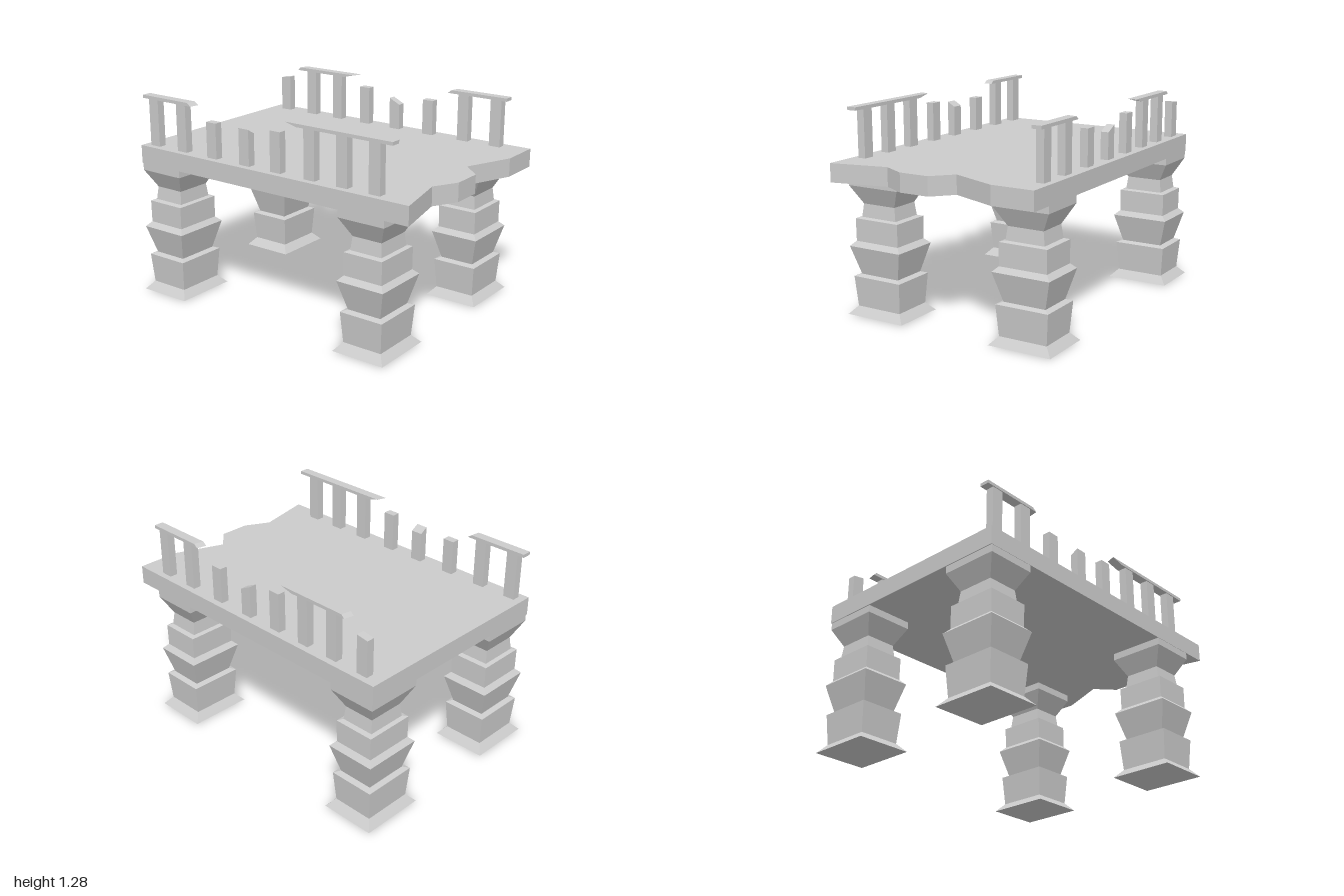
import * as THREE from 'three';

const material = new THREE.MeshStandardMaterial({ color: 0xcccccc, flatShading: true });

function addMesh(parent, name, geometry, x = 0, y = 0, z = 0) {
  const flat = geometry.index ? geometry.toNonIndexed() : geometry;
  flat.computeVertexNormals();
  const mesh = new THREE.Mesh(flat, material);
  mesh.name = name;
  mesh.position.set(x, y, z);
  parent.add(mesh);
}

// Move every vertex by a rule that edits the vector in place
function reshape(geometry, rule) {
  const p = geometry.attributes.position;
  const v = new THREE.Vector3();
  for (let i = 0; i < p.count; i++) {
    rule(v.fromBufferAttribute(p, i));
    p.setXYZ(i, v.x, v.y, v.z);
  }
  return geometry;
}

// Pillar profile from the ground up: [height, half width, half depth]
const PILLAR = [
  [0, 0.2025, 0.173], [0.05, 0.155, 0.129], [0.24, 0.17, 0.143], [0.252, 0.136, 0.111],
  [0.43, 0.185, 0.157], [0.46, 0.154, 0.128], [0.6, 0.155, 0.129], [0.608, 0.125, 0.105],
  [0.69, 0.114, 0.097], [0.805, 0.178, 0.154], [0.852, 0.178, 0.154],
];

function pillarGeometry() {
  const rows = PILLAR.length - 1;
  const g = new THREE.CylinderGeometry(1, 1, 1, 4, rows, false, Math.PI / 4);
  return reshape(g, (v) => {
    const [y, hx, hz] = PILLAR[Math.round((v.y + 0.5) * rows)];
    v.set(Math.sign(v.x) * hx, y, Math.sign(v.z) * hz);
  });
}

const DECK_TOP = 0.965;
const RAIL_BOTTOM = 1.26;
const RAIL_TOP = 1.28;

// Post with a top that may slope along x or z
function postGeometry(top, slopeX = 0, slopeZ = 0) {
  return reshape(new THREE.BoxGeometry(0.05, 1, 0.075), (v) => {
    v.y = v.y > 0 ? top + Math.sign(v.x) * slopeX + Math.sign(v.z) * slopeZ : DECK_TOP - 0.01;
  });
}

// Handrail: each end is [z at top, z at bottom, sideways skew]
function railGeometry(back, front) {
  return reshape(new THREE.BoxGeometry(0.06, 1, 1), (v) => {
    const [top, bottom, skew] = v.z > 0 ? front : back;
    v.z = (v.y > 0 ? top : bottom) + Math.sign(v.x) * skew;
    v.y = v.y > 0 ? RAIL_TOP : RAIL_BOTTOM;
  });
}

// Posts: [z, top height, slope x, slope z]; unlisted heights reach the rail
const SIDES = [
  {
    name: 'left', x: 0.623,
    posts: [[0.795], [0.565], [0.305, 1.19], [0.05, 1.148, 0, -0.018], [-0.19, 1.21],
      [-0.417], [-0.637], [-0.865, 1.195, 0, 0.006]],
    rails: [
      [[0.485, 0.46, 0.006], [0.87, 0.87, 0]],
      [[-0.725, -0.745, 0.006], [-0.265, -0.35, 0.01]],
    ],
  },
  {
    name: 'right', x: -0.623,
    posts: [[0.753], [0.535], [0.31], [0.065, 1.21], [-0.17, 1.172, -0.015, 0],
      [-0.425, 1.185], [-0.67], [-0.9]],
    rails: [
      [[0.153, 0.235, 0.01], [0.87, 0.87, 0]],
      [[-0.983, -0.983, 0], [-0.605, -0.578, 0.004]],
    ],
  },
];

export function createModel() {
  const model = new THREE.Group();
  model.name = 'brokenPier';

  // Deck slab with a jagged front edge
  const outline = [[-0.687, -0.985], [0.687, -0.985], [0.687, 1], [0.42, 1], [0.12, 0.88],
    [0.01, 1], [-0.18, 1], [-0.33, 0.92], [-0.687, 1]];
  const shape = new THREE.Shape(outline.map(([x, z]) => new THREE.Vector2(x, z)));
  const deck = new THREE.ExtrudeGeometry(shape, { depth: 0.115, bevelEnabled: false });
  deck.rotateX(Math.PI / 2);
  addMesh(model, 'deck', deck, 0, DECK_TOP, 0);

  // Four stepped pillars
  for (const x of [-0.507, 0.507]) {
    for (const z of [0.69, -0.825]) {
      const name = (z > 0 ? 'front' : 'back') + (x > 0 ? 'Left' : 'Right') + 'Pillar';
      addMesh(model, name, pillarGeometry(), x, 0, z);
    }
  }

  // Broken railings along both sides
  for (const side of SIDES) {
    const railing = new THREE.Group();
    railing.name = side.name + 'Railing';
    for (const [z, top = RAIL_BOTTOM, slopeX, slopeZ] of side.posts) {
      addMesh(railing, 'post', postGeometry(top, slopeX, slopeZ), side.x, 0, z);
    }
    for (const [back, front] of side.rails) {
      addMesh(railing, 'handrail', railGeometry(back, front), side.x, 0, 0);
    }
    model.add(railing);
  }
  return model;
}
